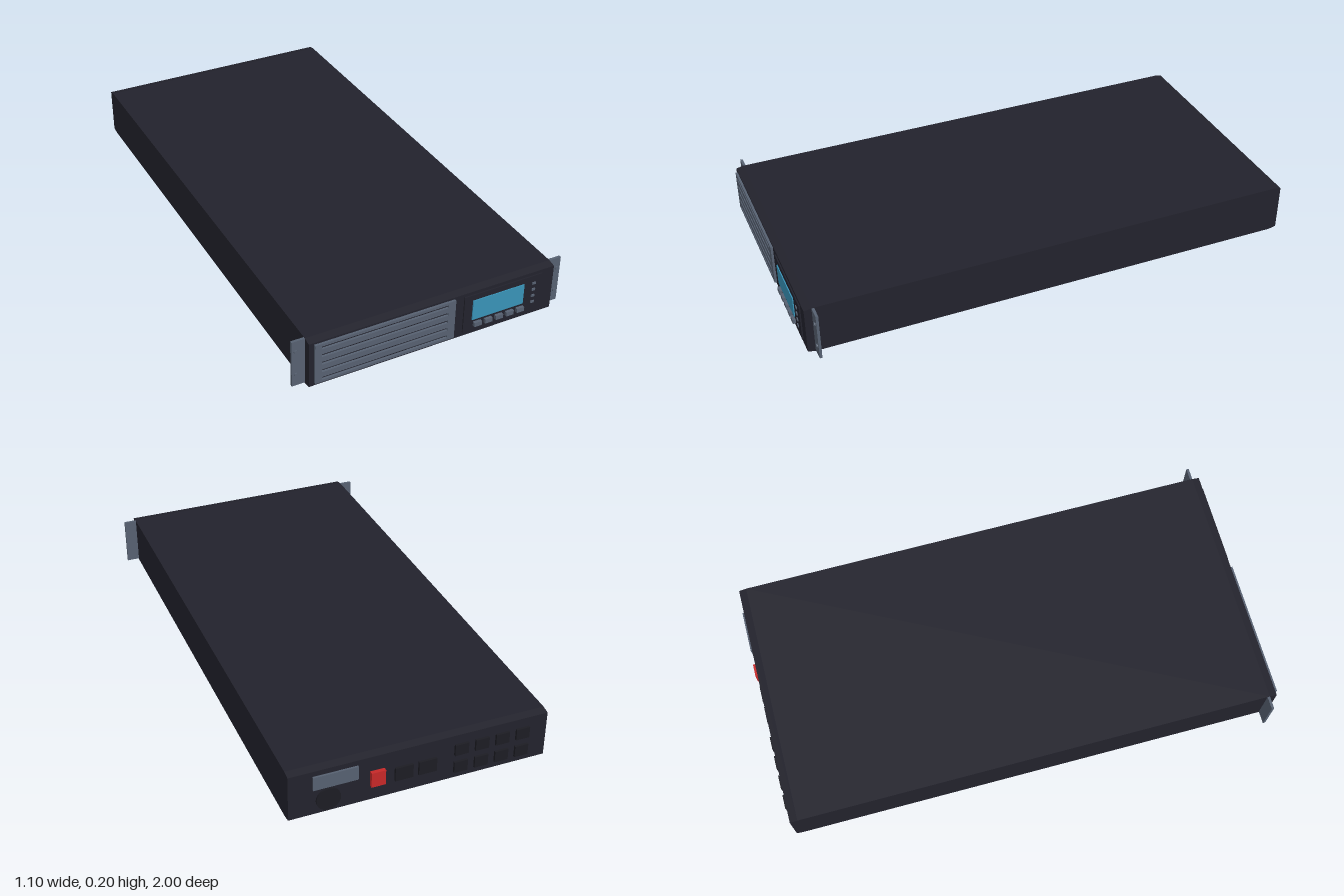
import * as THREE from 'three';

export function createModel() {
  const model = new THREE.Group();
  const mat = (name, color) => {
    const m = new THREE.MeshStandardMaterial({ color });
    m.name = name;
    return m;
  };
  const caseMat = mat('case charcoal', 0x22222c);
  const greyMat = mat('slate grey', 0x566070);
  const blackMat = mat('socket black', 0x1c1c23);
  const screenMat = mat('screen blue', 0x3892b7);
  const redMat = mat('switch red', 0xc62828);

  const add = (name, geometry, material, x, y, z) => {
    const mesh = new THREE.Mesh(geometry, material);
    mesh.name = name;
    mesh.position.set(x, y, z);
    model.add(mesh);
    return mesh;
  };
  // Box from its centre in x and y, and its two z limits
  const plate = (name, material, x, y, w, h, z0, z1) =>
    add(name, new THREE.BoxGeometry(w, h, Math.abs(z1 - z0)), material, x, y, (z0 + z1) / 2);
  // Round part lying along z
  const disc = (name, material, x, y, r, z0, z1) => {
    const g = new THREE.CylinderGeometry(r, r, Math.abs(z1 - z0), 24).rotateX(Math.PI / 2);
    return add(name, g, material, x, y, (z0 + z1) / 2);
  };
  const rect = (Type, x0, y0, x1, y1) => {
    const p = new Type();
    p.moveTo(x0, y0).lineTo(x1, y0).lineTo(x1, y1).lineTo(x0, y1).closePath();
    return p;
  };

  // Long case: side profile with slightly chamfered ends
  const FRONT = 0.983, BACK = -0.985, H = 0.198;
  const side = new THREE.Shape();
  side.moveTo(BACK + 0.03, 0).lineTo(FRONT - 0.03, 0).lineTo(FRONT, 0.006).lineTo(FRONT, H - 0.006)
    .lineTo(FRONT - 0.03, H).lineTo(BACK + 0.03, H).lineTo(BACK, H - 0.006).lineTo(BACK, 0.006).closePath();
  const caseGeo = new THREE.ExtrudeGeometry(side, { depth: 0.995, bevelEnabled: false });
  caseGeo.translate(0, 0, -0.4975).rotateY(-Math.PI / 2);
  add('case', caseGeo, caseMat, 0, 0, 0);

  // Rack ears with two screws each
  for (const s of [-1, 1]) {
    plate('rackEar', greyMat, s * 0.521, 0.101, 0.054, 0.192, 0.944, 0.954);
    for (const y of [0.054, 0.153]) disc('earScrew', greyMat, s * 0.533, y, 0.007, 0.952, 0.959);
  }

  // Ventilation grille with open slots
  const grille = rect(THREE.Shape, -0.478, 0.018, 0.077, 0.185);
  for (let i = 0; i < 5; i++) {
    const y = 0.034 + i * 0.0335;
    grille.holes.push(rect(THREE.Path, -0.452, y - 0.006, 0.048, y + 0.006));
  }
  add('grille', new THREE.ExtrudeGeometry(grille, { depth: 0.009, bevelEnabled: false }), greyMat, 0, 0, FRONT);

  // Control panel, screen, buttons and indicators
  plate('controlPanel', caseMat, 0.281, 0.102, 0.33, 0.155, FRONT, 0.988);
  plate('screen', screenMat, 0.259, 0.114, 0.217, 0.085, 0.987, 0.992);
  for (let i = 0; i < 5; i++) plate('button', greyMat, 0.173 + i * 0.0455, 0.051, 0.031, 0.018, 0.987, 1);
  for (let i = 0; i < 4; i++) plate('indicator', greyMat, 0.41, 0.148 - i * 0.028, 0.014, 0.009, 0.987, 0.992);

  // Rear outlets in two rows
  for (let i = 0; i < 4; i++) {
    for (const y of [0.055, 0.131]) plate('outlet', blackMat, -0.399 + i * 0.081, y, 0.053, 0.046, BACK, -0.994);
  }
  // Rear ports, switch, round inlet and rating plate
  for (const x of [-0.025, 0.066]) plate('port', blackMat, x, 0.092, 0.069, 0.056, BACK, -0.994);
  plate('powerSwitch', redMat, 0.167, 0.1, 0.054, 0.062, BACK, -1);
  disc('cableInlet', blackMat, 0.35, 0.061, 0.046, BACK, -0.992);
  plate('ratingPlate', greyMat, 0.324, 0.143, 0.168, 0.056, BACK, -0.993);

  return model;
}
